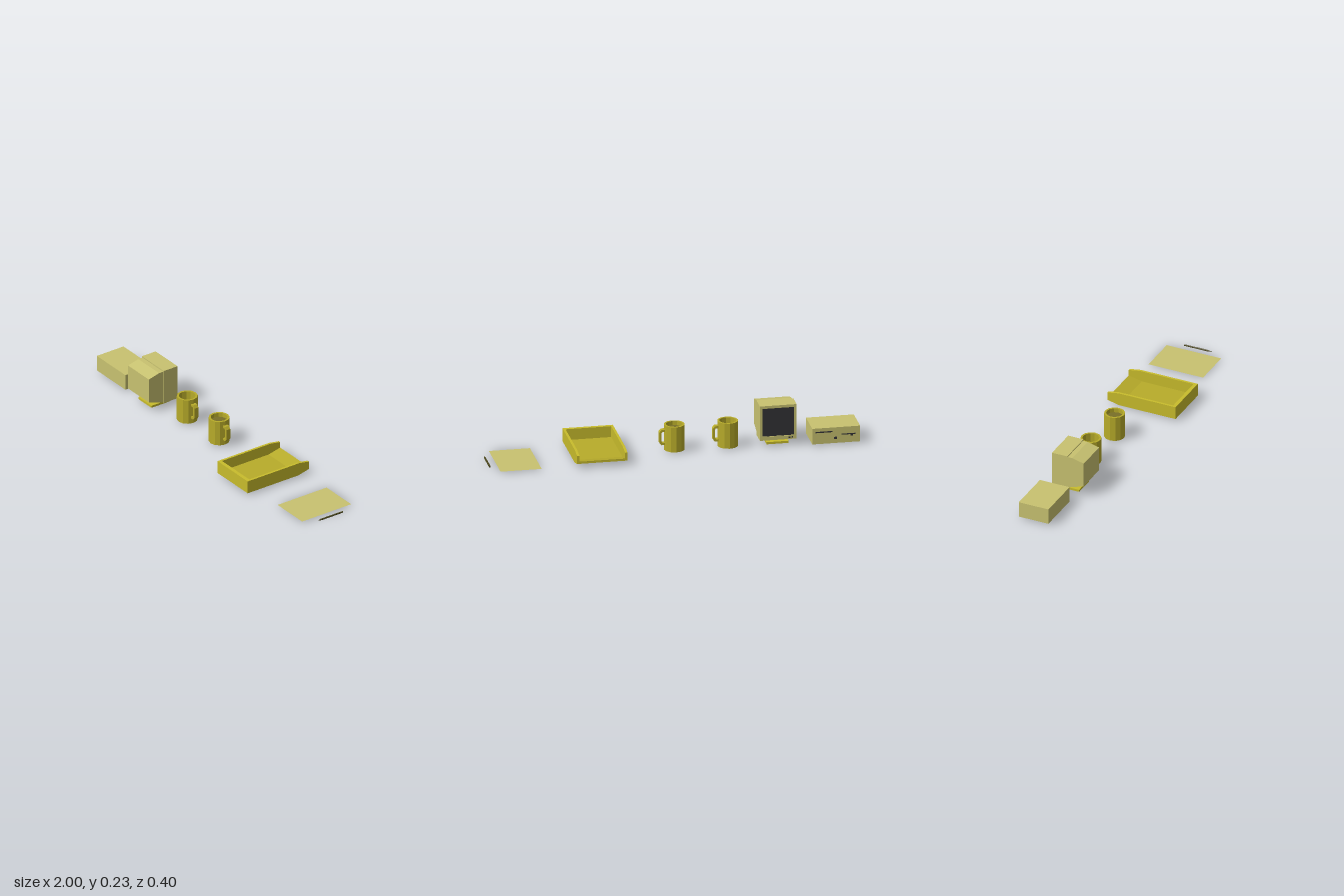
import * as THREE from 'three';

const paint = (name, color) => {
  const m = new THREE.MeshStandardMaterial({ color });
  m.name = name;
  return m;
};

export function createModel() {
  const beige = paint('beige plastic', 0xc8c270);
  const yellow = paint('yellow plastic', 0xc8bc2c);
  const ceramic = paint('ochre ceramic', 0xb8ac2a);
  const coffee = paint('dark liquid', 0x7a7028);
  const dark = paint('dark screen', 0x323236);
  const penPaint = paint('dark olive', 0x4a461c);
  const paperPaint = paint('paper', 0xc8c270);
  paperPaint.side = THREE.DoubleSide;

  const model = new THREE.Group();
  const group = (name) => {
    const g = new THREE.Group();
    g.name = name;
    model.add(g);
    return g;
  };
  const add = (parent, name, geo, mat) => {
    const m = new THREE.Mesh(geo, mat);
    m.name = name;
    parent.add(m);
    return m;
  };
  // Box given by its extents on each axis
  const box = (parent, name, mat, [x0, x1], [y0, y1], [z0, z1]) => {
    const m = add(parent, name, new THREE.BoxGeometry(x1 - x0, y1 - y0, z1 - z0), mat);
    m.position.set((x0 + x1) / 2, (y0 + y1) / 2, (z0 + z1) / 2);
    return m;
  };
  const outline = (pts) => new THREE.Shape(pts.map(([a, b]) => new THREE.Vector2(a, b)));
  // Side profile of (z, y) points, extruded across x
  const slab = (parent, name, mat, pts, x0, x1) => {
    const geo = new THREE.ExtrudeGeometry(outline(pts), { depth: x1 - x0, bevelEnabled: false });
    geo.rotateY(-Math.PI / 2).translate(x1, 0, 0);
    return add(parent, name, geo, mat);
  };

  // Computer case, with its drives on the -z side
  const computer = group('computer');
  box(computer, 'case', beige, [-1, -0.742], [0.008, 0.096], [-0.107, 0.067]);
  const caseDetails = [
    ['driveSlot', [-0.85, -0.76], [0.071, 0.077]],
    ['powerButton', [-0.874, -0.86], [0.031, 0.043]],
    ['cardSlot', [-0.975, -0.9], [0.053, 0.058]],
    ['ejectButton', [-0.962, -0.948], [0.044, 0.053]],
  ];
  for (const [name, xs, ys] of caseDetails) box(computer, name, dark, xs, ys, [-0.11, -0.106]);

  // Monitor: bezel frame, recessed screen, tapering rear and stand
  const monitor = group('monitor');
  const frame = outline([[-0.664, 0.036], [-0.466, 0.036], [-0.466, 0.23], [-0.664, 0.23]]);
  frame.holes.push(new THREE.Path(
    [[-0.65, 0.057], [-0.65, 0.215], [-0.48, 0.215], [-0.48, 0.057]].map(([a, b]) => new THREE.Vector2(a, b))));
  add(monitor, 'bezel', new THREE.ExtrudeGeometry(frame, { depth: 0.09, bevelEnabled: false }), beige)
    .position.z = -0.074;
  box(monitor, 'screen', dark, [-0.65, -0.48], [0.057, 0.215], [-0.069, -0.061]);
  box(monitor, 'screenBacking', beige, [-0.655, -0.475], [0.05, 0.22], [-0.06, 0.014]);
  for (const x of [-0.64, -0.625]) {
    box(monitor, 'monitorButton', dark, [x - 0.004, x + 0.004], [0.043, 0.05], [-0.077, -0.073]);
  }
  slab(monitor, 'rearHousing', beige,
    [[0.01, 0.037], [0.016, 0.037], [0.11, 0.068], [0.11, 0.207], [0.043, 0.224], [0.01, 0.224]],
    -0.659, -0.471);
  box(monitor, 'standNeck', yellow, [-0.59, -0.543], [0.015, 0.042], [-0.015, 0.03]);
  box(monitor, 'standBase', yellow, [-0.625, -0.507], [0.005, 0.017], [-0.05, 0.067]);

  // Twelve-sided mugs with a chamfered loop handle
  const cup = [[0, 0.004], [0.056, 0.004], [0.056, 0.145], [0.045, 0.145], [0.045, 0.016], [0, 0.016]];
  const loop = outline([[0.05, 0.034], [0.071, 0.034], [0.083, 0.048],
    [0.083, 0.106], [0.071, 0.12], [0.05, 0.12]]);
  loop.holes.push(new THREE.Path([[0.05, 0.046], [0.05, 0.108], [0.066, 0.108], [0.072, 0.1],
    [0.072, 0.054], [0.066, 0.046]].map(([a, b]) => new THREE.Vector2(a, b))));
  const makeMug = (name, x) => {
    const mug = group(name);
    mug.position.set(x, 0, -0.019);
    const body = new THREE.LatheGeometry(cup.map(([a, b]) => new THREE.Vector2(a, b)), 12).toNonIndexed();
    body.computeVertexNormals();
    add(mug, 'mugBody', body, ceramic);
    add(mug, 'mugHandle', new THREE.ExtrudeGeometry(loop, { depth: 0.026, bevelEnabled: false }), ceramic)
      .position.z = -0.013;
    return mug;
  };
  makeMug('emptyMug', -0.303);
  const fullMug = makeMug('fullMug', -0.015);
  add(fullMug, 'drink', new THREE.CircleGeometry(0.046, 12).rotateX(-Math.PI / 2), coffee).position.y = 0.122;

  // Letter tray: tapered side walls, closed +z end, upturned lip at -z
  const tray = group('letterTray');
  const side = [[-0.2, 0.025], [-0.13, 0.009], [0.2, 0.009], [0.2, 0.081], [-0.135, 0.081], [-0.2, 0.07]];
  slab(tray, 'trayWall', yellow, side, 0.273, 0.286);
  slab(tray, 'trayWall', yellow, side, 0.532, 0.545);
  box(tray, 'trayEnd', yellow, [0.286, 0.532], [0.009, 0.081], [0.18, 0.2]);
  slab(tray, 'trayBase', yellow,
    [[-0.2, 0.025], [-0.13, 0.009], [0.18, 0.009], [0.18, 0.017], [-0.125, 0.017], [-0.2, 0.034]], 0.286, 0.532);
  slab(tray, 'trayLining', ceramic,
    [[-0.2, 0.034], [-0.125, 0.017], [0.18, 0.017], [0.18, 0.02], [-0.124, 0.02], [-0.2, 0.037]], 0.286, 0.532);

  // Sheet of paper and a six-sided pen
  add(model, 'paper', new THREE.PlaneGeometry(0.222, 0.32).rotateX(-Math.PI / 2), paperPaint)
    .position.set(0.843, 0.004, -0.02);
  const pen = group('pen');
  pen.position.set(0.995, 0.0045, 0);
  const rod = (name, r0, r1, z0, z1) => {
    const geo = new THREE.CylinderGeometry(r1, r0, z1 - z0, 6).toNonIndexed();
    geo.computeVertexNormals();
    add(pen, name, geo.rotateX(Math.PI / 2), penPaint).position.z = (z0 + z1) / 2;
  };
  rod('penBarrel', 0.005, 0.005, -0.095, 0.045);
  rod('penTip', 0.005, 0.0015, 0.045, 0.062);

  return model;
}
